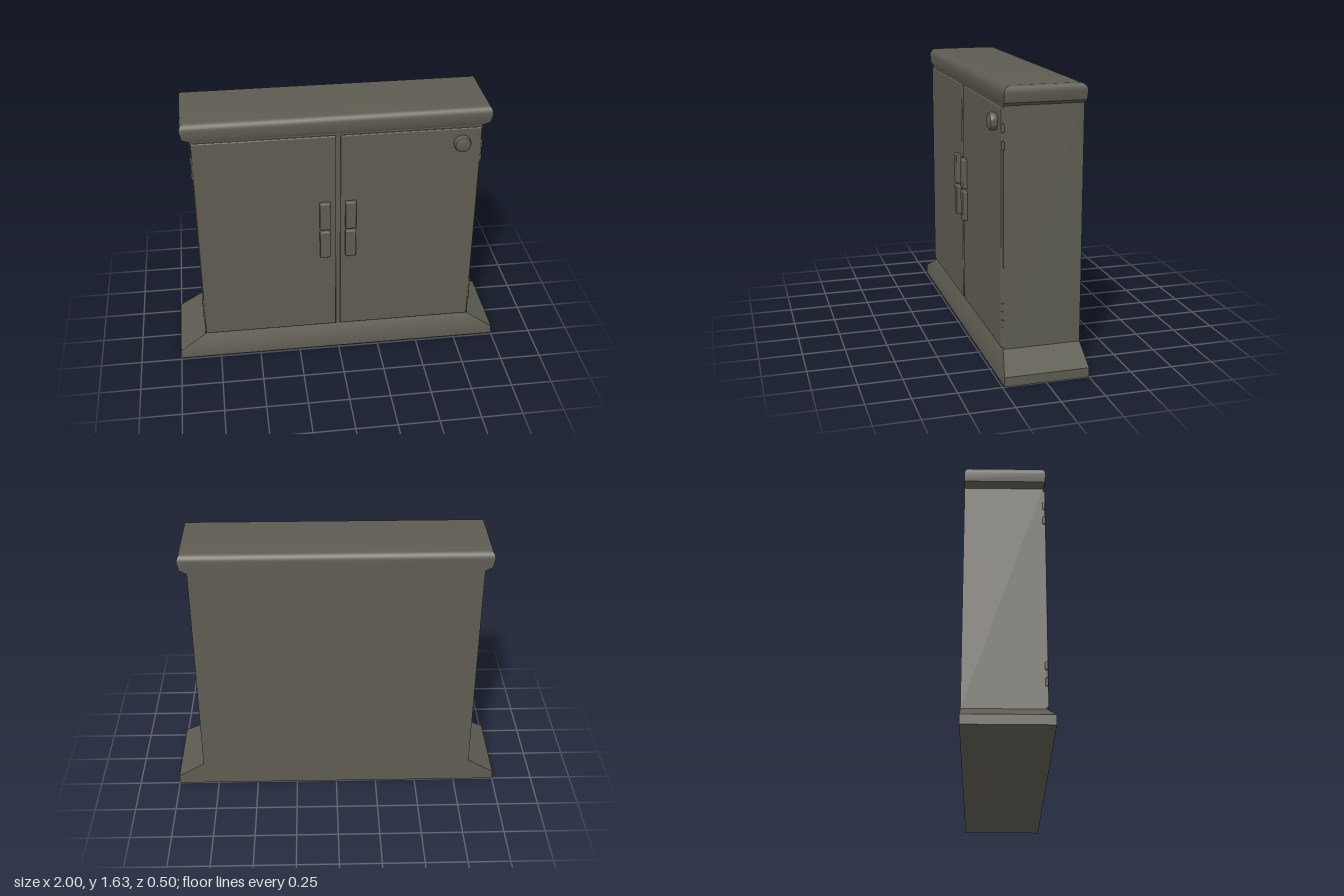
import * as THREE from 'three';
import { toCreasedNormals } from 'three/addons/utils/BufferGeometryUtils.js';
import { RoundedBoxGeometry } from 'three/addons/geometries/RoundedBoxGeometry.js';

// Closed solid from stacked rectangles: [y, halfWidth, zBack, zFront]
function loft(rings) {
  const pos = [], idx = [];
  for (const [y, w, zb, zf] of rings) pos.push(-w, y, zf, w, y, zf, w, y, zb, -w, y, zb);
  for (let r = 0; r < rings.length - 1; r++) {
    for (let i = 0; i < 4; i++) {
      const a = r * 4 + i, b = r * 4 + (i + 1) % 4;
      idx.push(a, b, b + 4, a, b + 4, a + 4);
    }
  }
  const t = (rings.length - 1) * 4;
  idx.push(0, 2, 1, 0, 3, 2, t, t + 1, t + 2, t, t + 2, t + 3);
  const g = new THREE.BufferGeometry();
  g.setAttribute('position', new THREE.Float32BufferAttribute(pos, 3));
  g.setIndex(idx);
  return toCreasedNormals(g, 0.5);
}

export function createModel() {
  const group = new THREE.Group();
  const paint = new THREE.MeshStandardMaterial({ color: 0x5e5c51 });
  paint.name = 'olive grey paint';

  const add = (name, geometry, x = 0, y = 0, z = 0) => {
    const mesh = new THREE.Mesh(geometry, paint);
    mesh.name = name;
    mesh.position.set(x, y, z);
    group.add(mesh);
    return mesh;
  };

  // Flared plinth and cabinet body
  add('base', loft([[0, 1, -0.25, 0.238], [0.055, 1, -0.25, 0.238], [0.15, 0.84, -0.25, 0.2]]));
  add('body', new THREE.BoxGeometry(1.68, 1.38, 0.45), 0, 0.835, -0.025);

  // Overhanging top with a bevelled underside and rounded upper edge
  const lid = [[1.515, 0.845, -0.25, 0.2], [1.535, 0.882, -0.25, 0.21], [1.585, 0.893, -0.25, 0.212]];
  for (let i = 1; i <= 6; i++) {
    const a = (i / 6) * Math.PI / 2, inset = 0.04 * (1 - Math.cos(a));
    lid.push([1.585 + 0.042 * Math.sin(a), 0.893 - inset * 0.6, -0.25 + inset, 0.212 - inset]);
  }
  add('top', loft(lid));

  const knuckle = new THREE.CylinderGeometry(0.009, 0.009, 0.044, 12);
  for (const side of [-1, 1]) {
    const label = side > 0 ? 'left' : 'right';
    // Door
    add(label + 'Door', new RoundedBoxGeometry(0.822, 1.345, 0.024, 2, 0.006), side * 0.424, 0.8325, 0.2);
    // Two-piece handle
    for (const [part, y] of [['Upper', 0.98], ['Lower', 0.782]]) {
      add(label + part + 'Handle', new RoundedBoxGeometry(0.064, 0.183, 0.034, 2, 0.007),
        side * 0.077 - 0.004, y, 0.222);
    }
    // Hinges of three knuckles
    for (const y of [0.35, 1.35]) {
      for (const k of [-1, 0, 1]) {
        add(label + 'Hinge', knuckle, side * (k ? 0.836 : 0.833), y + k * 0.048, 0.202);
      }
    }
  }

  // Round lock knob with a softened rim
  const profile = [[0, 0], [0.047, 0], [0.05, 0.02], [0.049, 0.032], [0.044, 0.041], [0.035, 0.045], [0, 0.046]]
    .map(([r, h]) => new THREE.Vector2(r, h));
  const knob = add('lockKnob', toCreasedNormals(new THREE.LatheGeometry(profile, 32), 0.6), 0.72, 1.415, 0.207);
  knob.rotation.x = Math.PI / 2;

  return group;
}
